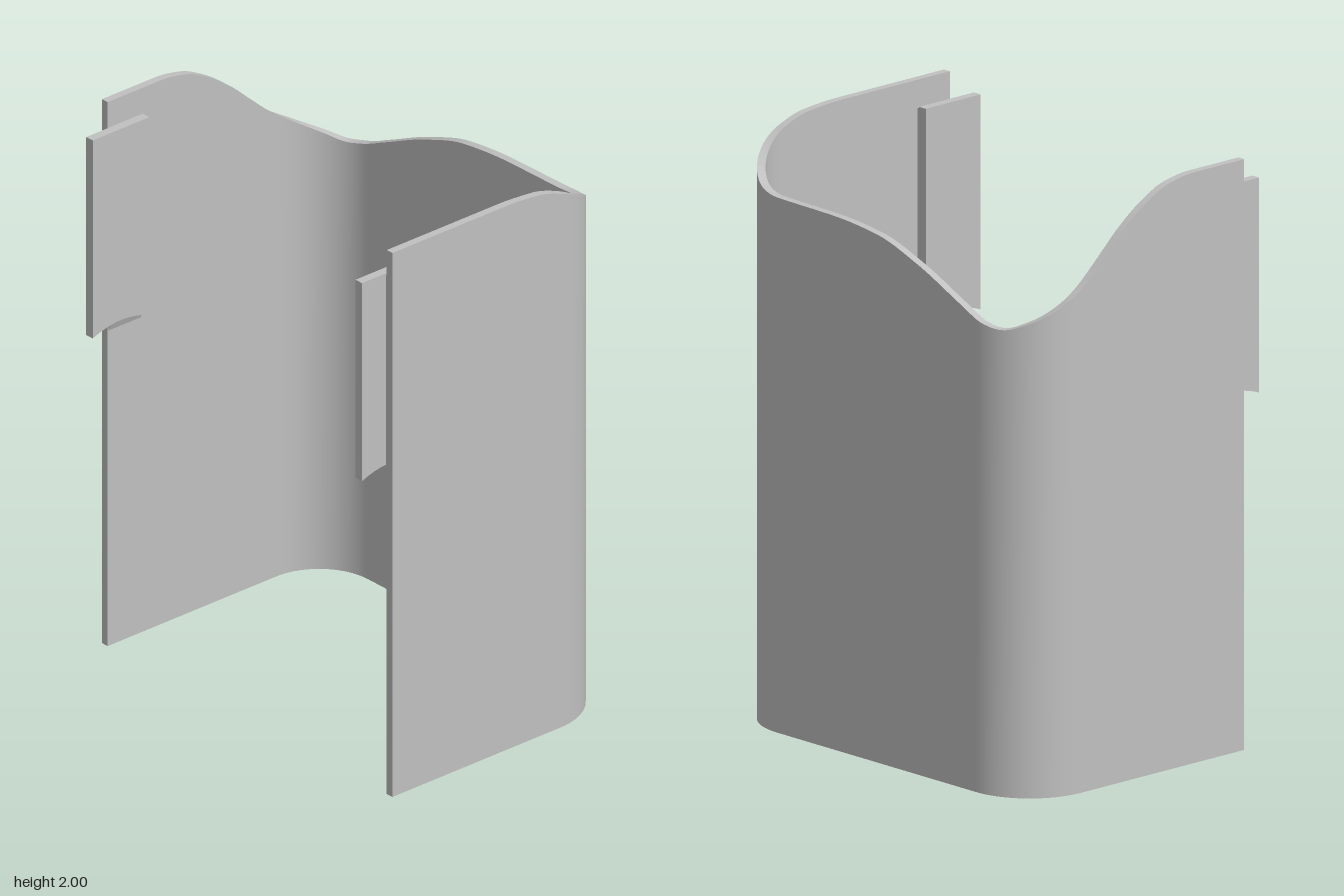
import * as THREE from 'three';
import { mergeGeometries } from 'three/addons/utils/BufferGeometryUtils.js';

const X0 = -0.435, X1 = 0.535, Z = 0.713, R = 0.24, T = 0.028;
const WALL = X1 - R - X0, ARC = R * Math.PI / 2, SIDE = 2 * (Z - R);
const TOTAL = 2 * WALL + 2 * ARC + SIDE;

// height of the wavy rim: [distance along the wall, height]
const RIM = [
  [0, 2], [0.48, 2], [0.635, 1.99], [0.735, 1.96], [0.918, 1.87], [1.023, 1.825],
  [1.107, 1.812], [1.38, 1.807], [1.58, 1.788], [1.78, 1.725], [1.98, 1.635],
  [2.08, 1.592], [2.153, 1.58], [2.24, 1.603], [2.43, 1.7], [2.525, 1.78],
  [2.625, 1.87], [2.725, 1.94], [2.825, 1.985], [2.93, 2], [3.2, 2],
];

function rimHeight(s) {
  const slope = (i) => (RIM[i + 1][1] - RIM[i][1]) / (RIM[i + 1][0] - RIM[i][0]);
  const tangent = (i) => {
    if (i === 0 || i === RIM.length - 1) return 0;
    const a = slope(i - 1), b = slope(i);
    return a * b <= 0 ? 0 : (2 * a * b) / (a + b);
  };
  let i = 0;
  while (i < RIM.length - 2 && s > RIM[i + 1][0]) i++;
  const h = RIM[i + 1][0] - RIM[i][0], t = (s - RIM[i][0]) / h, u = 1 - t;
  return u * u * (1 + 2 * t) * RIM[i][1] + t * t * (3 - 2 * t) * RIM[i + 1][1]
    + h * t * u * (u * tangent(i) - t * tangent(i + 1));
}

// plan position at distance s, moved inward by d
function planPoint(s, d) {
  const cx = X1 - R, cz = Z - R, r = R - d;
  if (s <= WALL) return [X0 + s, Z - d];
  s -= WALL;
  if (s <= ARC) return [cx + r * Math.sin(s / R), cz + r * Math.cos(s / R)];
  s -= ARC;
  if (s <= SIDE) return [X1 - d, cz - s];
  s -= SIDE;
  if (s <= ARC) return [cx + r * Math.cos(s / R), -cz - r * Math.sin(s / R)];
  return [cx - (s - ARC), -Z + d];
}

// ribbon of quads between two rows of points
function ribbon(p, q) {
  const pos = [], idx = [];
  p.forEach((a, i) => {
    pos.push(...a, ...q[i]);
    const k = 2 * i;
    if (i < p.length - 1) idx.push(k, k + 2, k + 3, k, k + 3, k + 1);
  });
  const g = new THREE.BufferGeometry();
  g.setAttribute('position', new THREE.Float32BufferAttribute(pos, 3));
  g.setIndex(idx);
  g.computeVertexNormals();
  return g;
}

function shellGeometry() {
  const stations = [];
  let start = 0;
  for (const [len, n] of [[WALL, 24], [ARC, 20], [SIDE, 32], [ARC, 20], [WALL, 24]]) {
    for (let i = 0; i < n; i++) stations.push(start + (len * i) / n);
    start += len;
  }
  stations.push(TOTAL);
  const row = (d, top) => stations.map((s) => {
    const [x, z] = planPoint(s, d);
    return [x, top ? rimHeight(s) : 0, z];
  });
  const bo = row(0, false), to = row(0, true), bi = row(T, false), ti = row(T, true);
  const e = stations.length - 1;
  return mergeGeometries([
    ribbon(bo, to), ribbon(ti, bi), ribbon(to, ti), ribbon(bi, bo),
    ribbon([bi[0], bo[0]], [ti[0], to[0]]),
    ribbon([bo[e], bi[e]], [to[e], ti[e]]),
  ]);
}

// flat tab with an arched lower edge
function tabGeometry() {
  const s = new THREE.Shape();
  s.moveTo(-0.535, 1.91);
  s.lineTo(-0.535, 1.182);
  s.quadraticCurveTo(-0.41, 1.232, -0.29, 1.182);
  s.lineTo(-0.29, 1.91);
  s.closePath();
  return new THREE.ExtrudeGeometry(s, { depth: 0.032, bevelEnabled: false, curveSegments: 12 });
}

// spacer between tab and wall, its lower end sloping back to the wall
function spacerGeometry(side) {
  const g = new THREE.BoxGeometry(0.141, 0.76, 0.018);
  const p = g.attributes.position;
  for (let i = 0; i < p.count; i++) {
    if (p.getY(i) < 0 && p.getZ(i) * side < 0) p.setY(i, p.getY(i) + 0.05);
  }
  g.computeVertexNormals();
  return g;
}

export function createModel() {
  const group = new THREE.Group();
  const grey = new THREE.MeshStandardMaterial({ color: 0xc0c0c0 });
  grey.name = 'plain grey';
  const add = (name, geometry, x = 0, y = 0, z = 0) => {
    const m = new THREE.Mesh(geometry, grey);
    m.name = name;
    m.position.set(x, y, z);
    group.add(m);
  };

  add('wrapAroundShell', shellGeometry());
  for (const side of [1, -1]) {
    const label = side > 0 ? 'front' : 'back';
    add(label + 'Tab', tabGeometry(), 0, 0, side > 0 ? 0.645 : -0.677);
    add(label + 'TabSpacer', spacerGeometry(side), -0.3615, 1.525, side * 0.681);
  }
  return group;
}
